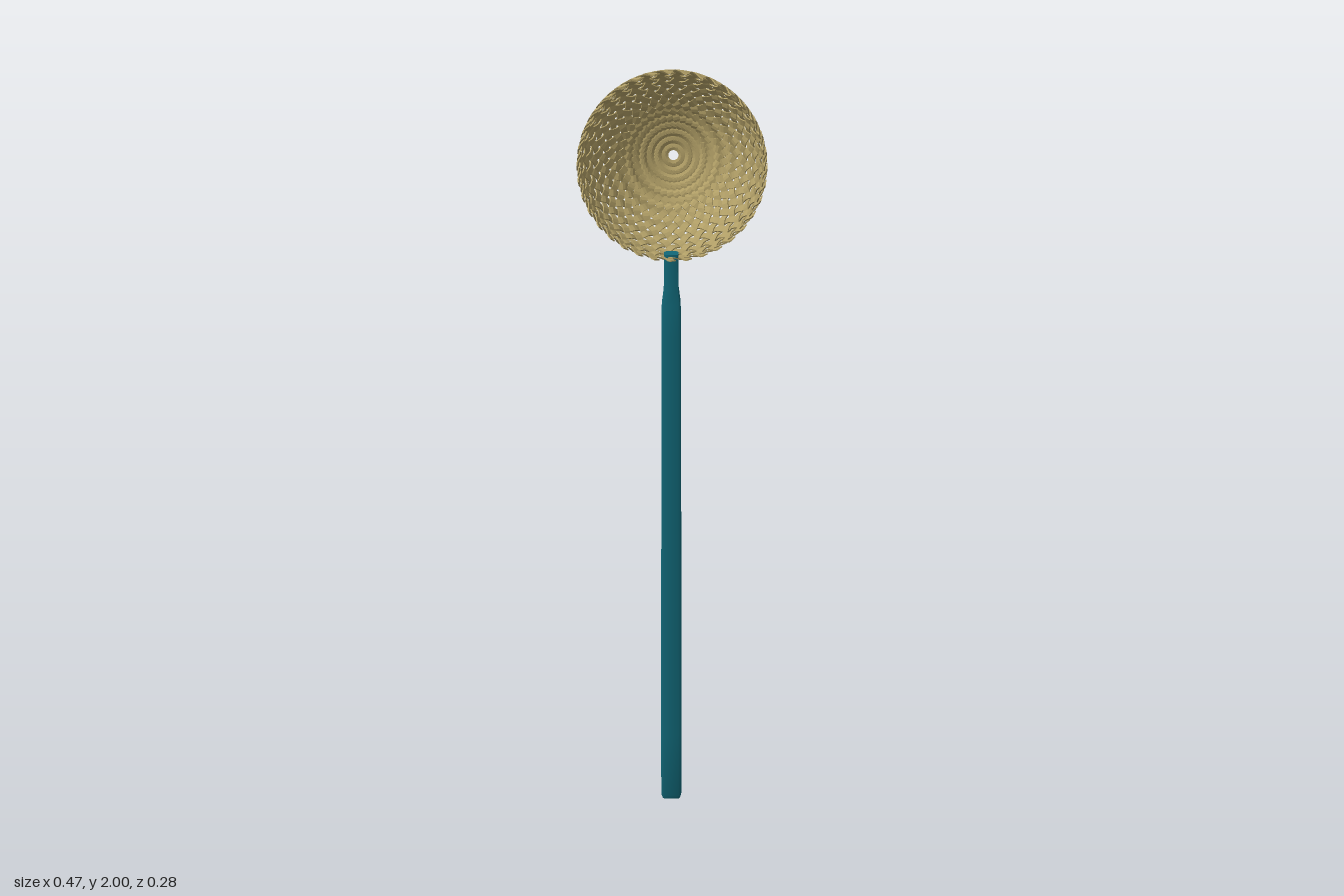
import * as THREE from 'three';
import { mergeGeometries, toCreasedNormals } from 'three/addons/utils/BufferGeometryUtils.js';

// Skin a row of closed rings (counter-clockwise about the path) and cap both ends.
function loft(rings) {
  const n = rings[0].length, pos = [], index = [];
  rings.forEach(ring => ring.forEach(p => pos.push(p.x, p.y, p.z)));
  for (let r = 0; r < rings.length - 1; r++) {
    for (let i = 0; i < n; i++) {
      const a = r * n + i, b = r * n + (i + 1) % n;
      index.push(a, b, b + n, a, b + n, a + n);
    }
  }
  const last = (rings.length - 1) * n;
  for (let i = 1; i < n - 1; i++) {
    index.push(0, i + 1, i, last, last + i, last + i + 1);
  }
  const geo = new THREE.BufferGeometry();
  geo.setAttribute('position', new THREE.Float32BufferAttribute(pos, 3));
  geo.setIndex(index);
  return geo;
}

// Rounded square ring at height y, with half width h
function squareRing(y, h) {
  const ring = [], r = h * 0.3;
  for (let c = 0; c < 4; c++) {
    const mid = Math.PI / 4 + c * Math.PI / 2;
    const cx = Math.sign(Math.cos(mid)) * (h - r), cy = Math.sign(Math.sin(mid)) * (h - r);
    for (let k = -1; k <= 1; k++) {
      const a = mid + k * Math.PI / 4;
      ring.push(new THREE.Vector3(cx + r * Math.cos(a), y, -(cy + r * Math.sin(a))));
    }
  }
  return ring;
}

const STRAPS = 36, RADIUS = 0.228, DEPTH = 0.238;

// Point on a strap: spirals from the pole to the rim, weaving in and out
function strapPoint(theta, phase, dir) {
  const phi = phase + dir * theta;
  const s = 1 + dir * 0.016 * Math.cos(STRAPS * theta);
  return new THREE.Vector3(
    RADIUS * s * Math.sin(theta) * Math.cos(phi),
    RADIUS * s * Math.sin(theta) * Math.sin(phi),
    -DEPTH * s * Math.cos(theta));
}

function strap(phase, dir) {
  const rings = [], steps = 54, start = 0.06, end = Math.PI / 2 + 0.015;
  for (let i = 0; i <= steps; i++) {
    const theta = start + (end - start) * i / steps;
    const p = strapPoint(theta, phase, dir);
    const tangent = strapPoint(theta + 0.01, phase, dir).sub(strapPoint(theta - 0.01, phase, dir)).normalize();
    const out = p.clone().normalize();
    out.addScaledVector(tangent, -out.dot(tangent)).normalize();
    const side = tangent.clone().cross(out);
    rings.push([[1, 1], [-1, 1], [-1, -1], [1, -1]].map(([u, v]) =>
      p.clone().addScaledVector(out, u * 0.0015).addScaledVector(side, v * 0.0088)));
  }
  return loft(rings);
}

export function createModel() {
  const model = new THREE.Group();

  // Square handle narrowing to a neck under the basket
  const profile = [[0, 0.024], [0.012, 0.0275], [0.2, 0.0275], [1.34, 0.0245],
    [1.42, 0.0235], [1.46, 0.0185], [1.55, 0.0175]];
  const handle = new THREE.Mesh(
    toCreasedNormals(loft(profile.map(([y, h]) => squareRing(y, h))), 0.6),
    new THREE.MeshStandardMaterial({ color: 0x116878 }));
  handle.name = 'handle';
  handle.position.set(-0.002, 0, 0.098);
  model.add(handle);

  // Woven basket: two mirrored sets of straps, open to the front and tipped up a little
  const basket = new THREE.Group();
  basket.name = 'basket';
  const cane = new THREE.MeshStandardMaterial({ color: 0xb09e66, flatShading: true });
  for (const dir of [1, -1]) {
    const straps = [];
    for (let i = 0; i < STRAPS; i++) straps.push(strap(i * 2 * Math.PI / STRAPS, dir));
    const mesh = new THREE.Mesh(mergeGeometries(straps), cane);
    mesh.name = dir > 0 ? 'leftSpiralStraps' : 'rightSpiralStraps';
    basket.add(mesh);
  }
  basket.position.set(0, 1.768, 0.099);
  basket.rotation.x = -0.11;
  model.add(basket);

  return model;
}
